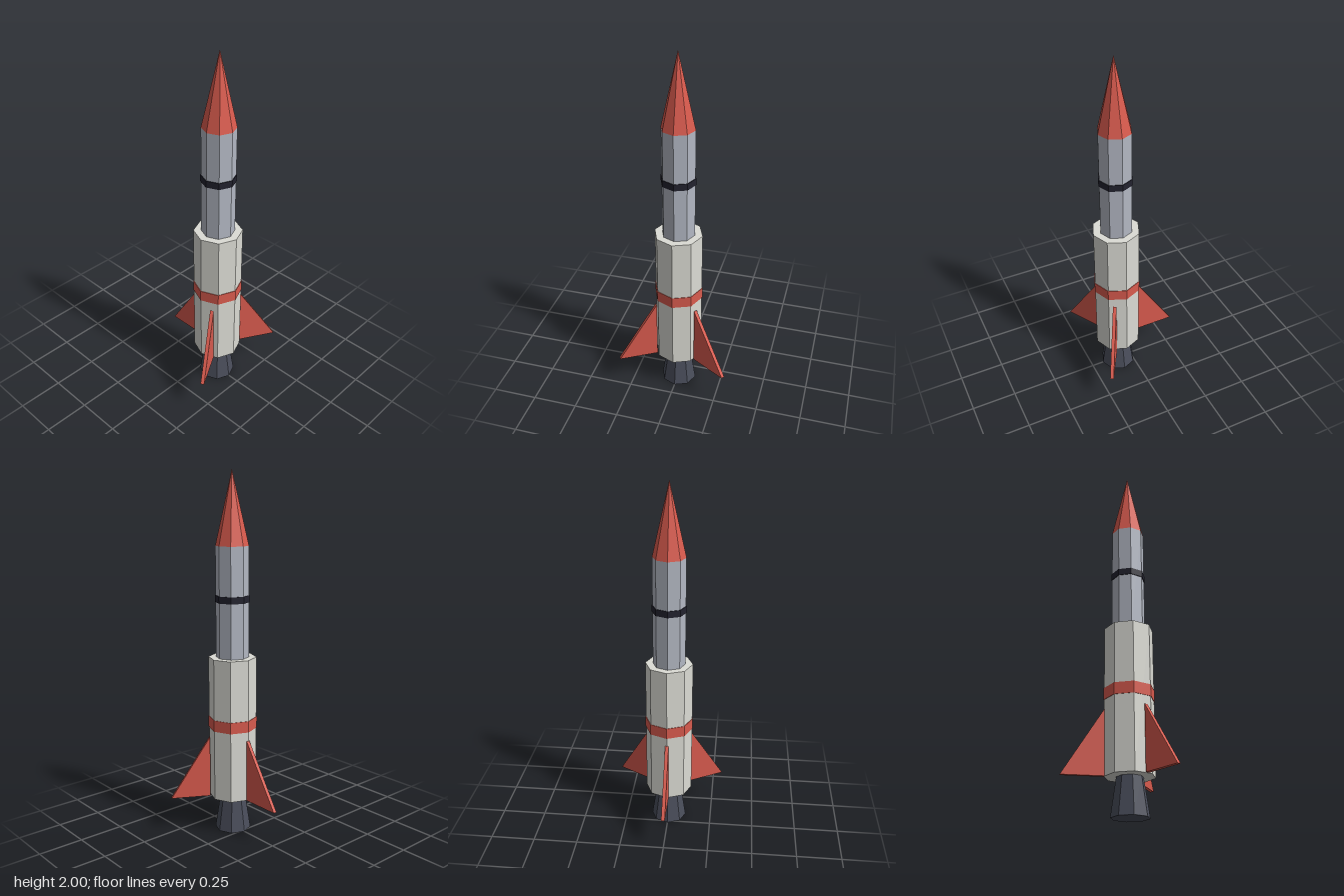
import * as THREE from 'three';

const material = (name, color) => {
  const m = new THREE.MeshStandardMaterial({ color, flatShading: true });
  m.name = name;
  return m;
};

export function createModel() {
  const red = material('red', 0xd95b4e);
  const white = material('offWhite', 0xdcdcd5);
  const silver = material('silver', 0xb3b8c3);
  const black = material('black', 0x22222e);
  const slate = material('slate', 0x4a4e5b);

  const rocket = new THREE.Group();
  rocket.name = 'rocket';
  rocket.position.z = 0.083;

  // Eight-sided stages stacked along the axis
  const stage = (name, mat, rTop, rBottom, y0, y1) => {
    const mesh = new THREE.Mesh(new THREE.CylinderGeometry(rTop, rBottom, y1 - y0, 8), mat);
    mesh.name = name;
    mesh.position.y = (y0 + y1) / 2;
    rocket.add(mesh);
  };
  stage('nozzle', slate, 0.07, 0.1, 0, 0.201);
  stage('lowerStage', white, 0.132, 0.132, 0.201, 1.003);
  stage('lowerBand', red, 0.135, 0.135, 0.6, 0.663);
  stage('upperStage', silver, 0.09, 0.09, 1.003, 1.606);
  stage('upperBand', black, 0.094, 0.094, 1.305, 1.342);

  // Pointed nose
  const nose = new THREE.Mesh(new THREE.ConeGeometry(0.09, 0.394, 8), red);
  nose.name = 'noseCone';
  nose.position.y = 1.803;
  rocket.add(nose);

  // Three triangular fins, one pointing straight back
  const outline = new THREE.Shape([
    new THREE.Vector2(0.13, 0.201),
    new THREE.Vector2(0.351, 0.201),
    new THREE.Vector2(0.13, 0.55),
  ]);
  const finGeometry = new THREE.ExtrudeGeometry(outline, { depth: 0.02, bevelEnabled: false });
  finGeometry.translate(0, 0, -0.01);
  ['backFin', 'rightFin', 'leftFin'].forEach((name, i) => {
    const fin = new THREE.Mesh(finGeometry, red);
    fin.name = name;
    fin.rotation.y = Math.PI / 2 + (i * Math.PI * 2) / 3;
    rocket.add(fin);
  });

  const model = new THREE.Group();
  model.name = 'model';
  model.add(rocket);
  return model;
}
